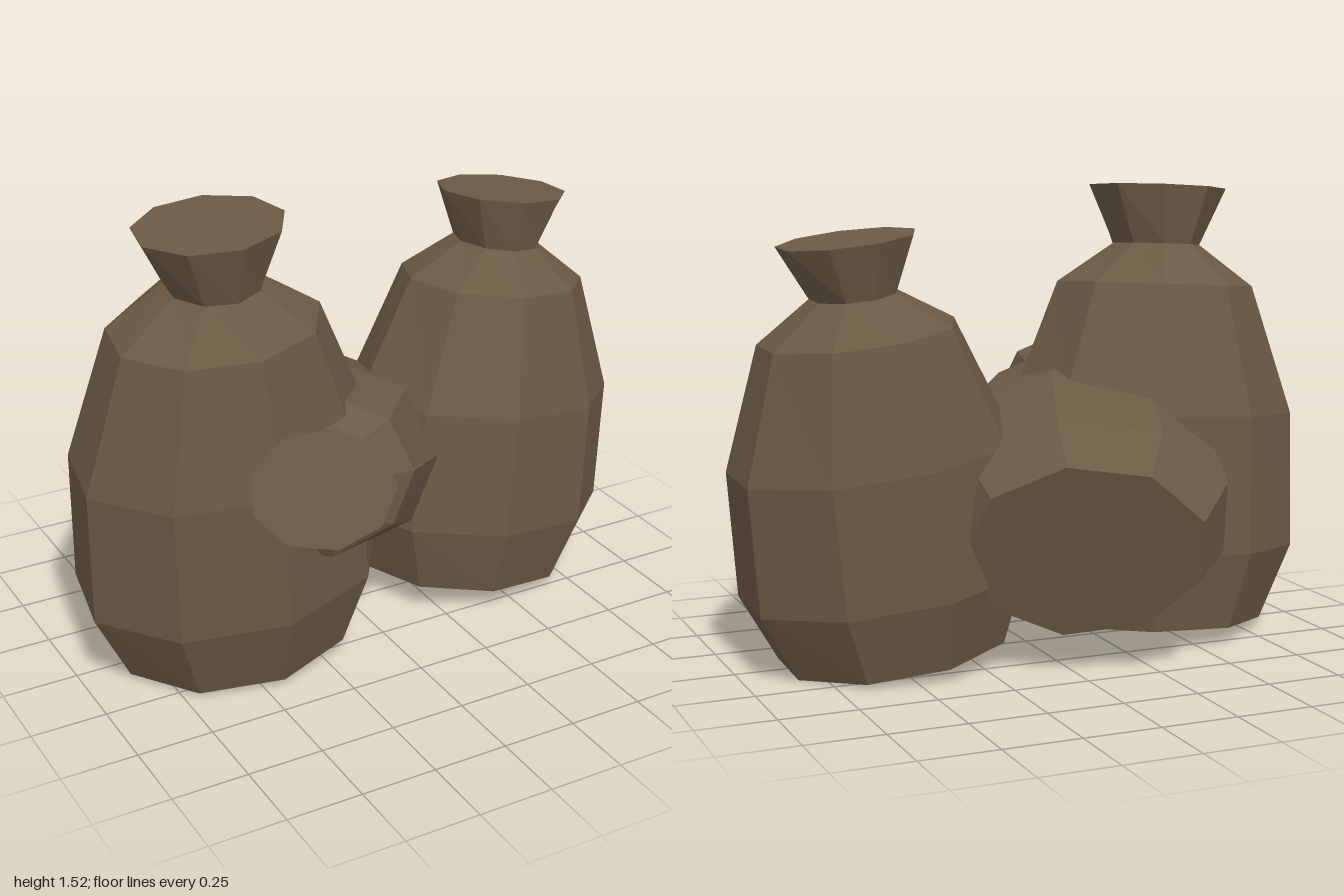
import * as THREE from 'three';

// Rings of one sack from base to mouth: height, half width, half depth
const RINGS = [
  [0, 0.385, 0.335],
  [0.23, 0.488, 0.395],
  [0.64, 0.473, 0.38],
  [1.03, 0.322, 0.285],
  [1.152, 0.137, 0.16],
  [1.327, 0.225, 0.205],
];
const HEIGHT = 1.327;

// Nine-sided closed sack, flattened ring by ring, with faceted normals.
// The first corner sits at the given angle from the sack's own x axis.
function sackGeometry(corner) {
  const rings = [[0, 0, 0], ...RINGS, [HEIGHT, 0, 0]];
  const profile = rings.map(([h, w]) => new THREE.Vector2(w, h));
  const lathe = new THREE.LatheGeometry(profile, 9, THREE.MathUtils.degToRad(90 - corner));
  const pos = lathe.attributes.position;
  for (let i = 0; i < pos.count; i++) {
    const [, w, d] = rings[i % rings.length];
    if (w > 0) pos.setZ(i, pos.getZ(i) * d / w);
  }
  const geometry = lathe.toNonIndexed();
  geometry.computeVertexNormals();
  return geometry;
}

export function createModel() {
  const group = new THREE.Group();
  group.name = 'sackPile';
  const burlap = new THREE.MeshStandardMaterial({ color: 0x6b5a44 });
  burlap.name = 'brown burlap';

  // Places a sack with its base and mouth centres at the given points
  function addSack(name, base, mouth, { width, depth, side, corner }) {
    const from = new THREE.Vector3(...base);
    const up = new THREE.Vector3(...mouth).sub(from);
    const stretch = up.length() / HEIGHT;
    up.normalize();
    const x = new THREE.Vector3(...side);
    x.addScaledVector(up, -x.dot(up)).normalize();
    const z = new THREE.Vector3().crossVectors(x, up);
    const sack = new THREE.Mesh(sackGeometry(corner), burlap);
    sack.name = name;
    sack.quaternion.setFromRotationMatrix(new THREE.Matrix4().makeBasis(x, up, z));
    sack.position.copy(from);
    sack.scale.set(width, stretch, depth);
    group.add(sack);
  }

  addSack('rightSack', [-0.45, 0.05, 0.025], [-0.535, 1.51, 0.123],
    { width: 1.07, depth: 1.05, side: [1, 0.07, 0], corner: 8 });
  addSack('leftSack', [0.472, 0.055, -0.025], [0.635, 1.373, -0.08],
    { width: 1, depth: 1, side: [1, 0, 0], corner: 20 });
  addSack('lyingSack', [0.01, 0.415, -0.5], [-0.4, 0.795, 0.58],
    { width: 1, depth: 0.91, side: [0.93, 0, 0.37], corner: 0 });
  return group;
}
